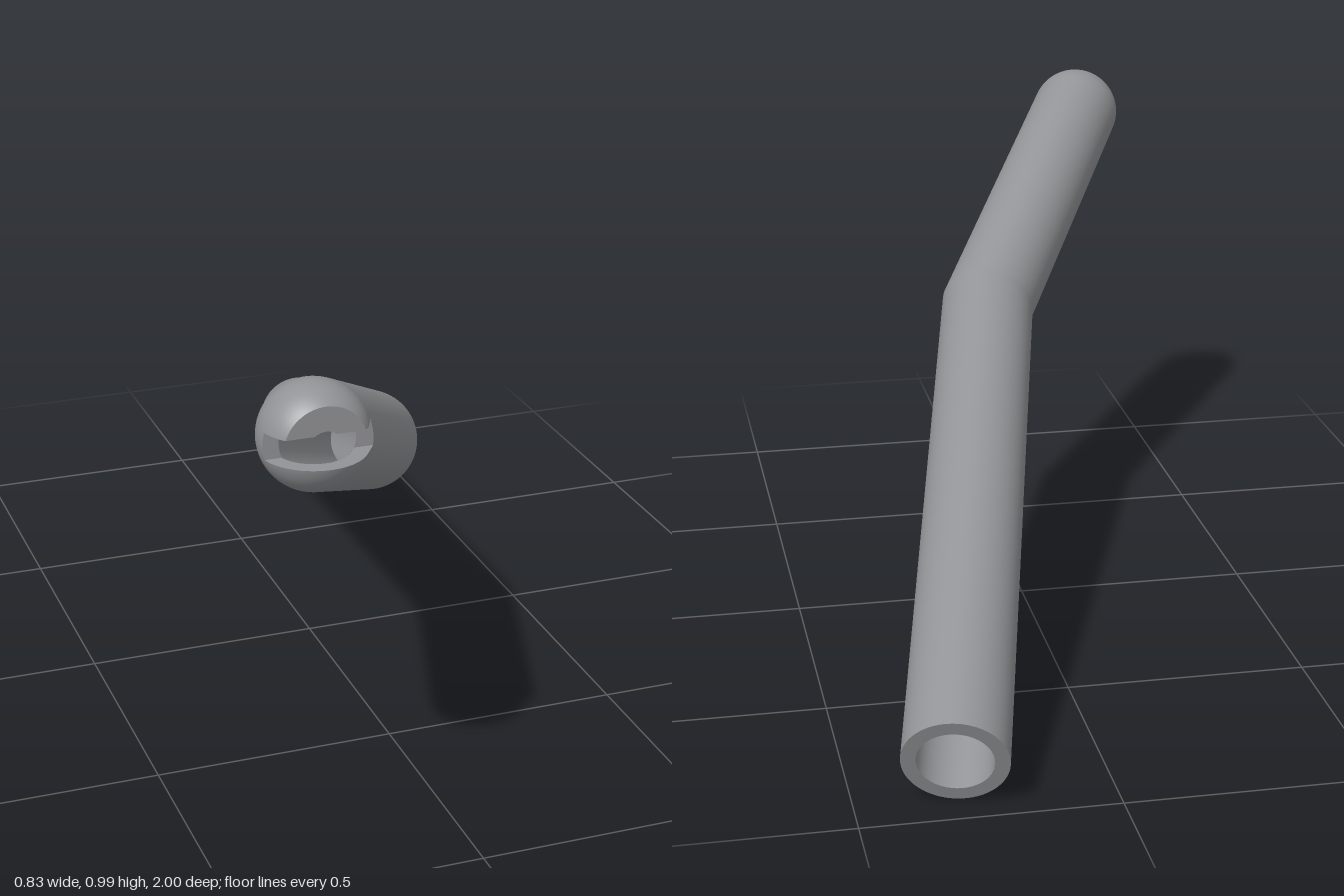
import * as THREE from 'three';

const V = (x, y, z) => new THREE.Vector3(x, y, z);
const R = 0.103, BORE = 0.074;
// axis points, relative to the centre of the rounded tip
const TIP = V(-0.31, 0.884, 0.9);
const ELBOW = V(0.021, 0.582, 0.297).sub(TIP);
const END = V(0.312, 0.0965, -0.958).sub(TIP);
const D1 = ELBOW.clone().normalize();
const D2 = END.clone().sub(ELBOW).normalize();
const U = V(0, 1, 0).cross(D1).normalize();
const W = U.clone().cross(D1);           // U x W points out of the tip
// notch limits
const LOW = -0.028, HIGH = 0.024, BACK = 0.02, FLAT = 0.067;
const SIDES = 72, CAP = 24;

const mat = new THREE.MeshStandardMaterial({ color: 0x929396, side: THREE.DoubleSide });

// slide a point along a direction until it meets a plane
function slide(p, dir, through, normal) {
  const t = through.clone().sub(p).dot(normal) / dir.dot(normal);
  return p.clone().addScaledVector(dir, t);
}

// rows of vertices {p, n}: hemisphere, straight part, mitred bend, straight part
function pipeRows(r) {
  const rows = Array.from({ length: CAP + 4 }, () => []);
  const miter = D1.clone().add(D2);
  for (let j = 0; j <= SIDES; j++) {
    const f = (j / SIDES) * Math.PI * 2;
    const e = U.clone().multiplyScalar(Math.cos(f)).addScaledVector(W, Math.sin(f));
    for (let i = 0; i <= CAP; i++) {
      const a = (i / CAP) * Math.PI / 2;
      const n = e.clone().multiplyScalar(Math.sin(a)).addScaledVector(D1, -Math.cos(a));
      rows[i].push({ p: n.clone().multiplyScalar(r), n });
    }
    const bend = slide(e.clone().multiplyScalar(r), D1, ELBOW, miter);
    const n2 = e.clone().addScaledVector(D2, -e.dot(D2)).normalize();
    rows[CAP + 1].push({ p: bend, n: e });
    rows[CAP + 2].push({ p: bend, n: n2 });
    rows[CAP + 3].push({ p: slide(bend, D2, END, D2), n: n2 });
  }
  return rows;
}

// keep the part of a polygon where sign * (coordinate - value) >= 0
function clip(poly, axis, value, sign) {
  const out = [];
  poly.forEach((a, i) => {
    const b = poly[(i + 1) % poly.length];
    const da = sign * (a.p[axis] - value), db = sign * (b.p[axis] - value);
    if (da >= 0) out.push(a);
    if (da * db < 0) {
      const t = da / (da - db);
      out.push({ p: a.p.clone().lerp(b.p, t), n: a.n.clone().lerp(b.n, t).normalize() });
    }
  });
  return out;
}

// pipe skin with the notch and the flat cut away
function pipeSkin(r, inward) {
  const rows = pipeRows(r), pos = [], nor = [], s = inward ? -1 : 1;
  const emit = (poly) => {
    for (let k = 1; k + 1 < poly.length; k++) {
      const tri = inward ? [poly[0], poly[k + 1], poly[k]] : [poly[0], poly[k], poly[k + 1]];
      for (const v of tri) {
        pos.push(v.p.x, v.p.y, v.p.z);
        nor.push(s * v.n.x, s * v.n.y, s * v.n.z);
      }
    }
  };
  for (let i = 0; i + 1 < rows.length; i++) {
    if (i === CAP + 1) continue;
    for (let j = 0; j < SIDES; j++) {
      const a = rows[i][j], b = rows[i + 1][j], c = rows[i + 1][j + 1], d = rows[i][j + 1];
      const tris = i === 0 ? [[a, b, c]] : [[a, b, c], [a, c, d]];
      for (const t of tris) {
        emit(clip(t, 'y', LOW, -1));
        emit(clip(clip(clip(t, 'y', LOW, 1), 'y', HIGH, -1), 'z', BACK, -1));
        emit(clip(clip(t, 'y', HIGH, 1), 'z', FLAT, -1));
      }
    }
  }
  const g = new THREE.BufferGeometry();
  g.setAttribute('position', new THREE.Float32BufferAttribute(pos, 3));
  g.setAttribute('normal', new THREE.Float32BufferAttribute(nor, 3));
  return g;
}

// distance along a ray from inside to the rounded pipe wall of radius r
function reach(o, dir, r) {
  const outside = (t) => {
    const p = o.clone().addScaledVector(dir, t);
    return p.addScaledVector(D1, -Math.max(0, p.dot(D1))).length() > r;
  };
  if (outside(0)) return 0;
  let lo = 0, hi = 0.6;
  for (let k = 0; k < 30; k++) {
    const m = (lo + hi) / 2;
    if (outside(m)) hi = m; else lo = m;
  }
  return lo;
}

// flat wall face between bore and outside, one [origin, direction] per step
function wallFace(rays, zMax = Infinity) {
  return strip(rays.map(([o, dir]) => [BORE, R].map((r) => {
    let t = reach(o, dir, r);
    if (dir.z > 1e-6) t = Math.min(t, (zMax - o.z) / dir.z);
    return o.clone().addScaledVector(dir, t);
  })));
}

function strip(pairs) {
  const pos = [], idx = [];
  pairs.forEach(([a, b], i) => {
    pos.push(...a.toArray(), ...b.toArray());
    const k = i * 2;
    if (i) idx.push(k - 2, k - 1, k + 1, k - 2, k + 1, k);
  });
  const g = new THREE.BufferGeometry();
  g.setAttribute('position', new THREE.Float32BufferAttribute(pos, 3));
  g.setIndex(idx);
  g.computeVertexNormals();
  return g;
}

const steps = (n, fn) => Array.from({ length: n + 1 }, (_, i) => fn(i / n));

export function createModel() {
  const group = new THREE.Group();
  group.name = 'bentPipe';
  const add = (name, geometry) => {
    const m = new THREE.Mesh(geometry, mat);
    m.name = name;
    m.position.copy(TIP);
    group.add(m);
  };

  add('outerWall', pipeSkin(R, false));
  add('bore', pipeSkin(BORE, true));

  // open end rim
  const outer = pipeRows(R).pop(), inner = pipeRows(BORE).pop();
  add('endRim', strip(outer.map((v, j) => [v.p, inner[j].p])));

  // notch floor and ceiling (horizontal), swept over the front half turn
  const fan = (y, turn) => steps(64, (t) => {
    const a = turn * (t - 0.5) * Math.PI;
    return [V(0, y, BACK), V(Math.sin(a), 0, Math.cos(a))];
  });
  add('notchFloor', wallFace(fan(LOW, 1)));
  add('notchCeiling', wallFace(fan(HIGH, -1), FLAT));

  // notch back edges on both sides
  for (const side of [1, -1]) {
    add(side > 0 ? 'notchBackLeft' : 'notchBackRight', wallFace(steps(10, (t) =>
      [V(0, LOW + (HIGH - LOW) * t, BACK), V(side, 0, 0)])));
  }

  // flat half-disc facing forward above the notch
  add('tipFlat', wallFace(steps(40, (t) =>
    [V(0, HIGH, FLAT), V(Math.cos(t * Math.PI), Math.sin(t * Math.PI), 0)])));
  return group;
}
